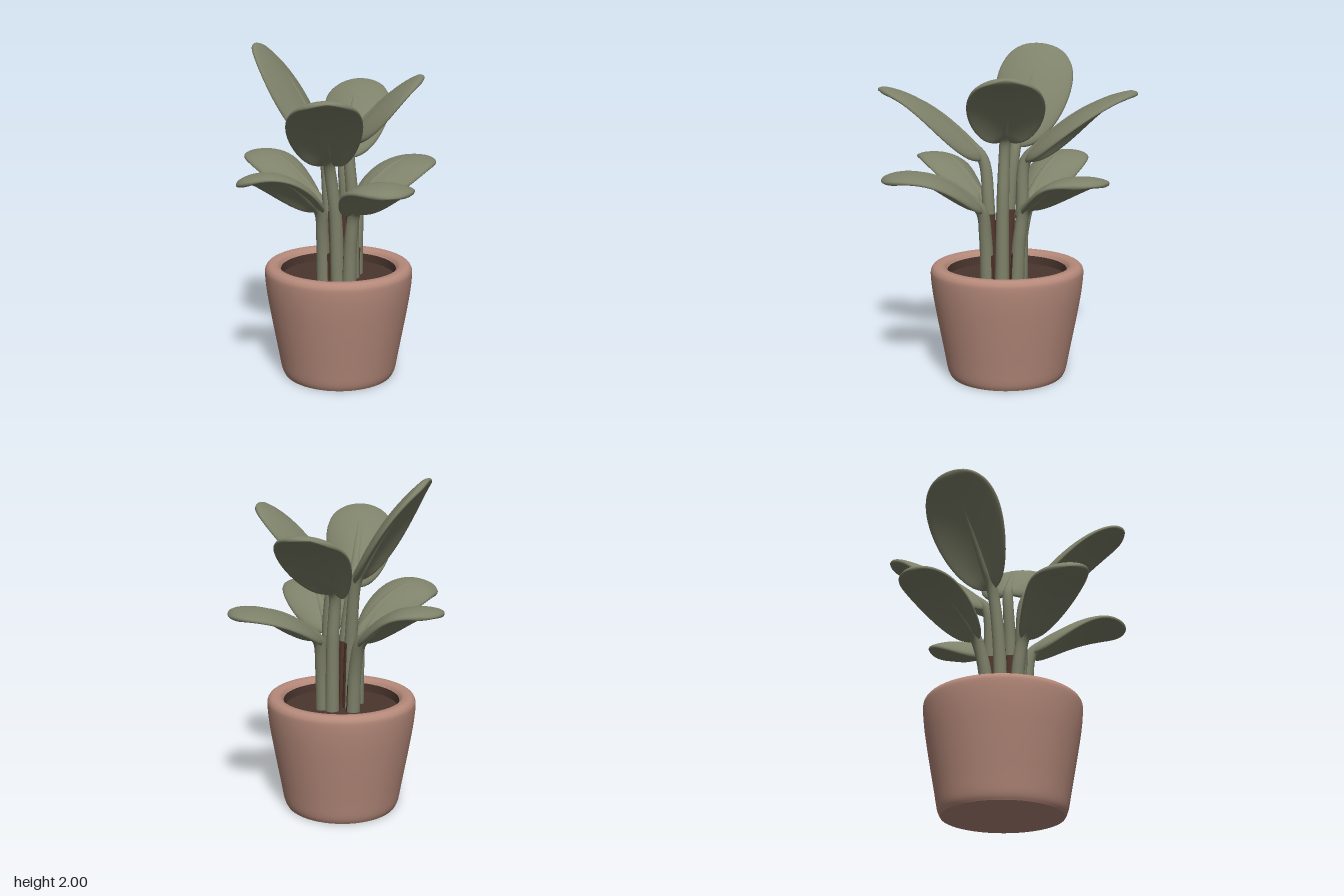
import * as THREE from 'three';

const V = (a) => new THREE.Vector3(...a);
const UP = new THREE.Vector3(0, 1, 0);

const mat = (name, color) => {
  const m = new THREE.MeshStandardMaterial({ color });
  m.name = name;
  return m;
};

// Each leaf: stem foot (x, z), then base, middle and tip of the blade's spine, half width,
// edge droop, roll and the height up to which the stem's inner side is brown
const LEAVES = [
  { name: 'upperBack', foot: [0.05, -0.1], base: [0.04, 1.32, -0.13], mid: [0.18, 1.61, -0.43], tip: [0.25, 1.72, -0.74], w: 0.215, droop: 0.08, roll: -0.15, bark: 1.02 },
  { name: 'upperRight', foot: [-0.06, -0.05], base: [-0.09, 1.39, -0.11], mid: [-0.26, 1.76, -0.27], tip: [-0.44, 1.99, -0.4], w: 0.24, droop: 0.06, roll: 0.15, bark: 1.02 },
  { name: 'upperFront', foot: [-0.04, 0.06], base: [-0.1, 1.32, 0.09], mid: [-0.19, 1.62, 0.39], tip: [-0.24, 1.74, 0.69], w: 0.21, droop: 0.08, bark: 1.02 },
  { name: 'upperLeft', foot: [0.06, 0.02], base: [0.05, 1.44, 0], mid: [0.26, 1.69, 0.06], tip: [0.46, 1.82, 0.12], w: 0.22, droop: 0.08, bark: 1.02 },
  { name: 'lowerRight', foot: [-0.12, 0.03], base: [-0.15, 1.04, 0.07], mid: [-0.42, 1.275, 0.2], tip: [-0.66, 1.25, 0.27], w: 0.185, droop: 0.06, roll: 0.2, bark: 0.78 },
  { name: 'lowerLeft', foot: [0.1, -0.06], base: [0.13, 1.04, -0.1], mid: [0.4, 1.24, -0.24], tip: [0.66, 1.25, -0.31], w: 0.215, droop: 0.06, bark: 0.78 },
  { name: 'lowerBack', foot: [-0.07, -0.13], base: [-0.1, 1.04, -0.2], mid: [-0.29, 1.265, -0.43], tip: [-0.43, 1.28, -0.65], w: 0.185, droop: 0.06, bark: 0.78 },
  { name: 'lowerFront', foot: [0.02, 0.1], base: [0.04, 1.03, 0.14], mid: [0.08, 1.25, 0.45], tip: [0.1, 1.24, 0.74], w: 0.2, droop: 0.06, bark: 0.78 },
];

// Curve passing through base, middle and tip
function spineOf({ base, mid, tip }) {
  const b = V(base), t = V(tip);
  const ctrl = V(mid).multiplyScalar(2).addScaledVector(b, -0.5).addScaledVector(t, -0.5);
  return new THREE.QuadraticBezierCurve3(b, ctrl, t);
}

// Thick oval blade lofted from flattened rings, its edges drooping most near the base
function bladeGeometry(spine, { w, droop, roll = 0 }) {
  const rows = 30, cols = 32, half = 0.021, pos = [], idx = [];
  for (let i = 0; i <= rows; i++) {
    const a = Math.PI * i / rows;
    const u = (1 - Math.cos(a)) / 2;
    const round = Math.max(Math.sin(a), 0.002);
    const width = w * round ** 0.92 * (0.95 + 0.1 * u);
    const sag = droop * round * (1.3 - u);
    const p = spine.getPoint(u), T = spine.getTangent(u);
    const S = T.clone().cross(UP).normalize().applyAxisAngle(T, roll);
    const N = S.clone().cross(T);
    for (let j = 0; j < cols; j++) {
      const th = 2 * Math.PI * j / cols, c = Math.cos(th), s = Math.sin(th);
      const lift = Math.sign(s) * Math.abs(s) ** 0.6 * half * Math.min(1, round * 2.2);
      const q = p.clone().addScaledVector(S, c * width).addScaledVector(N, lift - sag * c * c);
      pos.push(q.x, q.y, q.z);
      if (i < rows) {
        const k = (j + 1) % cols, r0 = i * cols, r1 = r0 + cols;
        idx.push(r0 + j, r1 + j, r0 + k, r0 + k, r1 + j, r1 + k);
      }
    }
  }
  const g = new THREE.BufferGeometry();
  g.setAttribute('position', new THREE.Float32BufferAttribute(pos, 3));
  g.setIndex(idx);
  g.computeVertexNormals();
  return g;
}

// Tapered stem running on into a midrib that stands proud of both leaf faces
function stemGeometry({ foot: [fx, fz], base, bark }, spine) {
  const b = V(base);
  const knee = new THREE.Vector3(fx + (b.x - fx) * 0.3, 0.6 + (b.y - 0.6) * 0.6, fz + (b.z - fz) * 0.3);
  const path = new THREE.CatmullRomCurve3([
    new THREE.Vector3(fx, 0.58, fz), knee, b,
    ...[0.12, 0.25, 0.4, 0.55, 0.7].map((u) => spine.getPoint(u)),
  ]);
  const segs = 48, sides = 16;
  const g = new THREE.TubeGeometry(path, segs, 1, sides);
  const pos = g.attributes.position, normal = g.attributes.normal, v = new THREE.Vector3();
  const inner = [];
  for (let i = 0; i <= segs; i++) {
    const u = i / segs, c = path.getPointAt(u);
    const r = 0.043 - 0.014 * u - 0.009 * u ** 4;
    for (let j = 0; j <= sides; j++) {
      const k = i * (sides + 1) + j;
      inner[k] = c.y < bark && normal.getX(k) * fx + normal.getZ(k) * fz < 0;
      v.fromBufferAttribute(pos, k).sub(c).multiplyScalar(r).add(c);
      pos.setXYZ(k, v.x, v.y, v.z);
    }
  }
  // Sort the quads into green and brown groups
  const green = [], brown = [], index = Array.from(g.index.array);
  for (let i = 0; i < index.length; i += 6) {
    const quad = index.slice(i, i + 6);
    (quad.every((k) => inner[k]) ? brown : green).push(...quad);
  }
  g.setIndex([...green, ...brown]);
  g.addGroup(0, green.length, 0);
  g.addGroup(green.length, brown.length, 1);
  return g;
}

export function createModel() {
  const model = new THREE.Group();
  model.name = 'pottedPlant';
  const leafGreen = mat('leafGreen', 0x7f826a);
  const terracotta = mat('terracotta', 0xb5897a);
  const soilBrown = mat('soilBrown', 0x4a362e);
  const barkBrown = mat('barkBrown', 0x52372d);

  // Pot: closed bottom, flared wall, rounded rim, soil-stained inner wall
  const pot = new THREE.Group();
  pot.name = 'pot';
  pot.position.set(-0.015, 0, -0.035);
  pot.scale.z = 1.04;
  model.add(pot);
  const add = (name, geometry, material) => {
    const mesh = new THREE.Mesh(geometry, material);
    mesh.name = name;
    pot.add(mesh);
  };
  const points = (list) => list.map(([x, y]) => new THREE.Vector2(x, y));
  const wall = new THREE.SplineCurve(points([
    [0.335, 0], [0.352, 0.04], [0.372, 0.15], [0.41, 0.36], [0.436, 0.52], [0.446, 0.63],
    [0.44, 0.67], [0.415, 0.69], [0.37, 0.685], [0.348, 0.66],
  ]));
  add('potWall', new THREE.LatheGeometry(wall.getPoints(50), 56), terracotta);
  add('potInnerWall', new THREE.LatheGeometry(points([[0.348, 0.66], [0.34, 0.59]]), 56), soilBrown);
  add('potBottom', new THREE.CircleGeometry(0.335, 56).rotateX(Math.PI / 2), terracotta);
  add('soil', new THREE.CircleGeometry(0.344, 56).rotateX(-Math.PI / 2).translate(0, 0.61, 0), soilBrown);

  // Leaves with their stems
  for (const leaf of LEAVES) {
    const group = new THREE.Group();
    group.name = leaf.name + 'Leaf';
    const spine = spineOf(leaf);
    const blade = new THREE.Mesh(bladeGeometry(spine, leaf), leafGreen);
    blade.name = 'blade';
    const stem = new THREE.Mesh(stemGeometry(leaf, spine), [leafGreen, barkBrown]);
    stem.name = 'stem';
    group.add(blade, stem);
    model.add(group);
  }
  return model;
}
